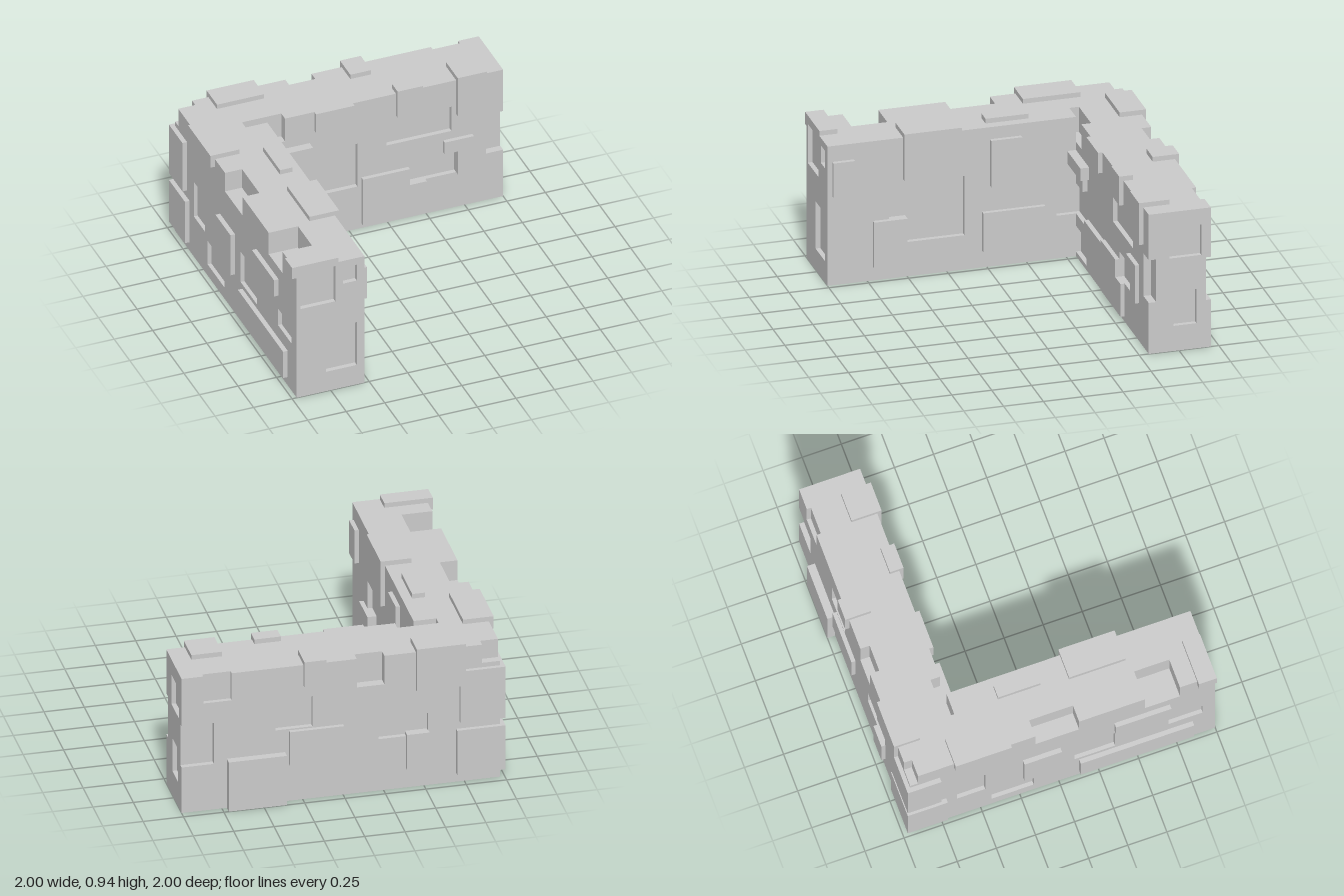
import * as THREE from 'three';

// Every box is [x0, x1, y0, y1, z0, z1]
const H = 0.914;
const SIDE_WING = [-0.97, -0.53, 0, H, -0.95, 1];
const BACK_WING = [-0.97, 1, 0, H, -0.95, -0.56];

// Sunken stones: shallow pockets and notches on the outside of the back wing
const BACK_CUTS = [
  [0.69, 0.865, 0.73, 1, -1, -0.923],
  [0.8, 1.1, 0.31, 0.59, -1, -0.918],
  [0.19, 0.42, 0.49, 0.695, -1, -0.92],
  [-0.255, -0.085, 0.72, 1, -1, -0.89],
  [-0.525, -0.22, 0.35, 0.49, -1, -0.92],
  [-1, -0.86, 0.79, 1, -1, -0.9],
];
// Pockets on the inner face and free end of the back wing
const FRONT_CUTS = [
  [-0.67, -0.415, 0.75, 1, -0.62, -0.56],
  [-0.39, 0.055, 0.305, 0.615, -0.59, -0.5],
  [-0.56, -0.365, 0.28, 0.48, -0.59, -0.437],
  [-0.53, -0.305, 0.03, 0.2, -0.59, -0.5],
  [0.245, 0.665, 0.555, 0.73, -0.59, -0.5],
  [0.385, 0.695, 0.25, 0.415, -0.59, -0.5],
  [0.89, 1.1, 0.335, 0.615, -0.607, -0.5],
  [0.97, 1.1, 0.61, 0.81, -0.89, -0.69],
  [0.97, 1.1, 0.165, 0.39, -0.86, -0.715],
];
// Pockets on the side wing
const SIDE_CUTS = [
  [-0.945, -0.72, 0.635, 0.89, 0.97, 1.1],
  [-0.67, -0.58, 0.75, 0.865, 0.97, 1.1],
  [-0.78, -0.58, 0.14, 0.45, 0.97, 1.1],
  [-0.56, -0.5, 0.225, 0.615, 0.14, 0.615],
  [-1, -0.86, 0.78, 1, -0.15, 0.13],
  [-1, -0.78, 0.76, 1, 0.55, 0.775],
  [-1, -0.945, 0.29, 0.54, -0.65, -0.47],
  [-1, -0.945, 0.08, 0.25, -0.43, -0.16],
  [-1, -0.945, 0.28, 0.5, 0.1, 0.36],
  [-1, -0.945, 0.34, 0.46, 0.7, 0.92],
];

// Raised stones
const BACK_STONES = [
  [0.36, 0.72, 0, 0.335, -1, -0.95],
  [0, 0.335, 0.25, 0.48, -0.976, -0.95],
  [0.11, 0.245, 0.775, 0.945, -0.976, -0.81],
  [-0.755, -0.45, 0.66, 0.945, -0.976, -0.81],
  [-0.53, -0.39, 0.13, 0.37, -0.976, -0.92],
  [-1, -0.7, 0.06, 0.36, -0.976, -0.72],
  [-1, -0.72, 0.41, 0.76, -0.976, -0.76],
];
const FRONT_STONES = [
  [0.305, 0.47, 0.755, 0.945, -0.62, -0.533],
  [0.695, 0.885, 0.67, 0.945, -0.725, -0.533],
  [-0.53, -0.255, 0.615, 0.697, -0.56, -0.505],
  [-0.225, 0.025, 0.78, H, -0.56, -0.533],
  [0.08, 0.385, 0.035, 0.365, -0.56, -0.533],
  [0.385, 0.495, 0.035, 0.25, -0.56, -0.533],
  [0.61, 0.8, 0.415, 0.5, -0.56, -0.533],
  [0.695, 0.8, 0.25, 0.415, -0.56, -0.533],
];
const SIDE_STONES = [
  [-1, -0.7, H, 0.945, 0.885, 1],
  [-1, -0.97, 0.865, H, 0.885, 1],
  [-1, -0.81, 0.86, 0.945, -0.67, -0.31],
  [-0.67, -0.59, H, 0.945, -0.28, -0.01],
  [-0.695, -0.503, 0.64, 0.945, 0.165, 0.525],
  [-0.53, -0.503, 0.585, 0.81, 0.835, 0.97],
  [-0.56, -0.503, 0.09, 0.39, 0.505, 0.715],
  [-0.53, -0.503, 0.53, 0.835, -0.215, -0.02],
  [-0.53, -0.503, 0.11, 0.365, -0.36, 0.03],
  [-1, -0.97, 0.28, 0.57, -0.23, 0.01],
  [-1, -0.97, 0.06, 0.25, 0.13, 0.855],
  [-1, -0.97, 0.56, 0.677, 0.355, 0.71],
];

// Boundary surface of a union of boxes minus other boxes, on the grid of their sides
function carve(solids, cuts) {
  const all = [...solids, ...cuts];
  const grid = [0, 1, 2].map((a) =>
    [...new Set(all.flatMap((b) => [b[2 * a], b[2 * a + 1]]))].sort((p, q) => p - q));
  const inside = (b, p) => p.every((c, a) => c > b[2 * a] && c < b[2 * a + 1]);
  const filled = (cell) => {
    if (cell.some((c, a) => c < 0 || c >= grid[a].length - 1)) return false;
    const mid = cell.map((c, a) => (grid[a][c] + grid[a][c + 1]) / 2);
    return solids.some((b) => inside(b, mid)) && !cuts.some((b) => inside(b, mid));
  };
  const pos = [];
  const quad = (cell, a, dir) => {
    const u = (a + 1) % 3, v = (a + 2) % 3;
    const corner = (du, dv) => {
      const p = [];
      p[a] = grid[a][cell[a] + (dir > 0 ? 1 : 0)];
      p[u] = grid[u][cell[u] + du];
      p[v] = grid[v][cell[v] + dv];
      return p;
    };
    const c = [corner(0, 0), corner(1, 0), corner(1, 1), corner(0, 1)];
    if (dir < 0) c.reverse();
    for (const i of [0, 1, 2, 0, 2, 3]) pos.push(...c[i]);
  };
  for (let i = 0; i < grid[0].length - 1; i++)
    for (let j = 0; j < grid[1].length - 1; j++)
      for (let k = 0; k < grid[2].length - 1; k++) {
        const cell = [i, j, k];
        if (!filled(cell)) continue;
        for (let a = 0; a < 3; a++)
          for (const dir of [-1, 1]) {
            const next = [...cell];
            next[a] += dir;
            if (!filled(next)) quad(cell, a, dir);
          }
      }
  const geo = new THREE.BufferGeometry();
  geo.setAttribute('position', new THREE.Float32BufferAttribute(pos, 3));
  geo.computeVertexNormals();
  return geo;
}

export function createModel() {
  const model = new THREE.Group();
  model.name = 'cornerWall';
  const material = new THREE.MeshStandardMaterial({ color: 0xcccccc, flatShading: true });

  // L-shaped wall with its sunken stones
  const wall = new THREE.Mesh(
    carve([SIDE_WING, BACK_WING], [...BACK_CUTS, ...FRONT_CUTS, ...SIDE_CUTS]), material);
  wall.name = 'wall';
  model.add(wall);

  // Raised stones, grouped by the side they sit on
  const groups = { backStones: BACK_STONES, frontStones: FRONT_STONES, sideStones: SIDE_STONES };
  for (const [name, boxes] of Object.entries(groups)) {
    const group = new THREE.Group();
    group.name = name;
    for (const [x0, x1, y0, y1, z0, z1] of boxes) {
      const stone = new THREE.Mesh(new THREE.BoxGeometry(x1 - x0, y1 - y0, z1 - z0), material);
      stone.position.set((x0 + x1) / 2, (y0 + y1) / 2, (z0 + z1) / 2);
      stone.name = 'raisedStone';
      group.add(stone);
    }
    model.add(group);
  }
  return model;
}
